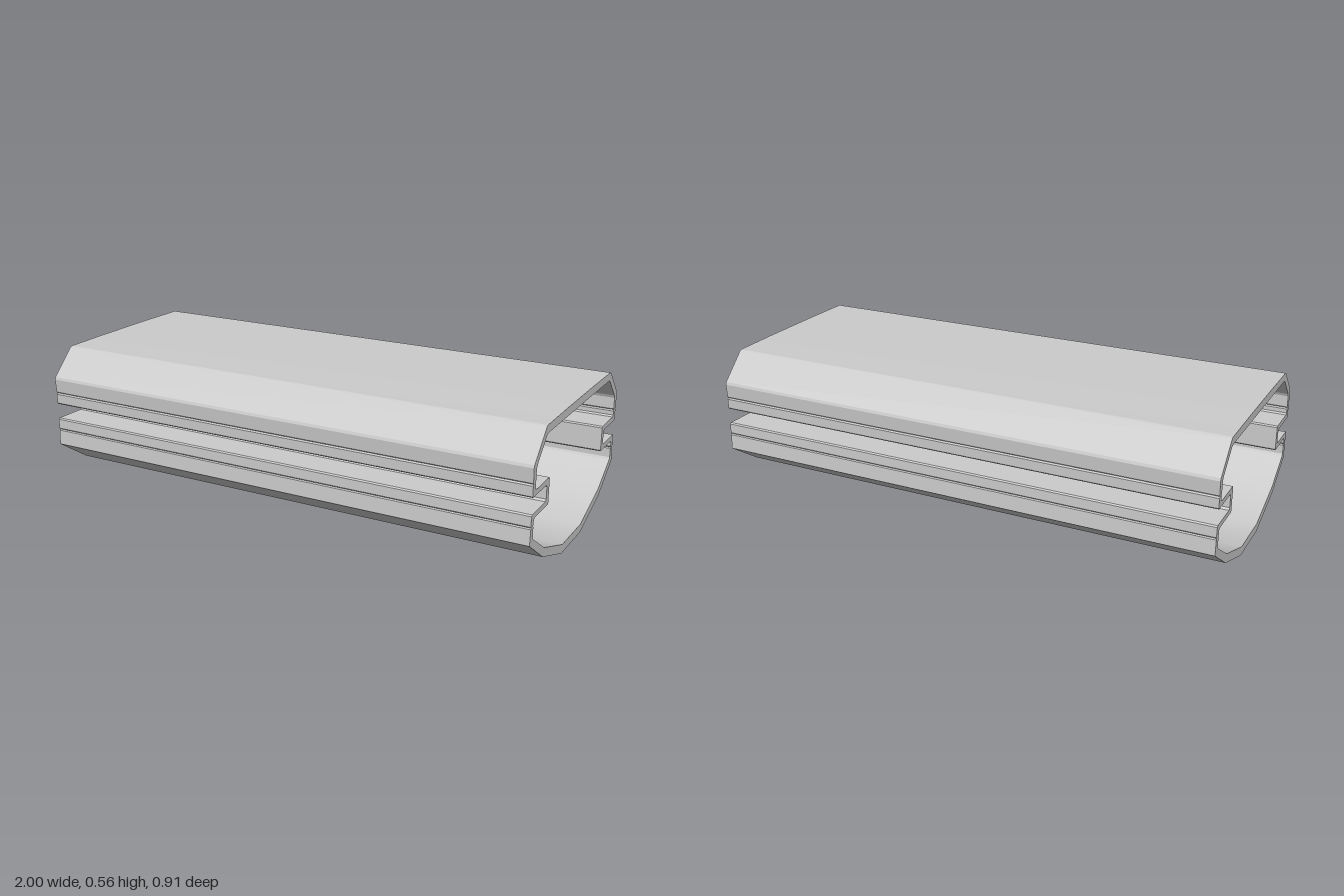
import * as THREE from 'three';
import { toCreasedNormals } from 'three/addons/utils/BufferGeometryUtils.js';

const LENGTH = 2;
const material = new THREE.MeshStandardMaterial({ color: 0xcccccc });

// Mirror a half outline [z, y], returned in reverse order
const mirrored = (pts) => pts.map(([z, y]) => [-z, y]).reverse();

// Extrude a cross-section given as [z, y] corners along x
function extrusion(name, points) {
  const shape = new THREE.Shape(points.map(([z, y]) => new THREE.Vector2(-z, y)));
  const geometry = new THREE.ExtrudeGeometry(shape, { depth: LENGTH, bevelEnabled: false });
  geometry.translate(0, 0, -LENGTH / 2);
  geometry.rotateY(Math.PI / 2);
  const mesh = new THREE.Mesh(toCreasedNormals(geometry, 0.35), material);
  mesh.name = name;
  return mesh;
}

// A shell symmetric about z = 0, from its outer and inner half outlines
// (both running from the middle to the free edge)
function shell(name, outer, inner) {
  return extrusion(name, [
    ...mirrored(outer), ...outer,
    ...[...inner].reverse(), ...mirrored(inner).reverse(),
  ]);
}

export function createModel() {
  const group = new THREE.Group();
  group.name = 'hollowProfile';

  // Flat roof with chamfered shoulders
  group.add(shell('topShell',
    [[0.155, 0.557], [0.326, 0.555], [0.344, 0.555], [0.352, 0.552], [0.452, 0.452],
      [0.456, 0.442], [0.452, 0.389], [0.448, 0.385]],
    [[0.155, 0.525], [0.333, 0.525], [0.345, 0.521], [0.423, 0.444], [0.428, 0.433],
      [0.428, 0.389], [0.432, 0.385]]));

  // Faceted belly
  group.add(shell('bottomShell',
    [[0.106, 0.002], [0.311, 0.073], [0.455, 0.17], [0.452, 0.228], [0.448, 0.232]],
    [[0.101, 0.035], [0.301, 0.104], [0.423, 0.183], [0.428, 0.192], [0.428, 0.228],
      [0.432, 0.232]]));

  // Side channels: upper half of the section, repeated downwards about its middle
  const midY = 0.3085;
  const outer = [[0.448, 0.385], [0.453, 0.38], [0.452, 0.343], [0.447, 0.338],
    [0.322, 0.338], [0.315, 0.331]];
  const inner = [[0.432, 0.385], [0.428, 0.38], [0.428, 0.364], [0.422, 0.358],
    [0.296, 0.358], [0.291, 0.353]];
  const flip = (pts) => pts.map(([z, y]) => [z, 2 * midY - y]).reverse();
  const channel = [
    ...outer, ...flip(outer),
    ...[...inner, ...flip(inner)].reverse(),
  ];
  group.add(extrusion('frontChannel', channel));
  group.add(extrusion('backChannel', mirrored(channel)));

  return group;
}
